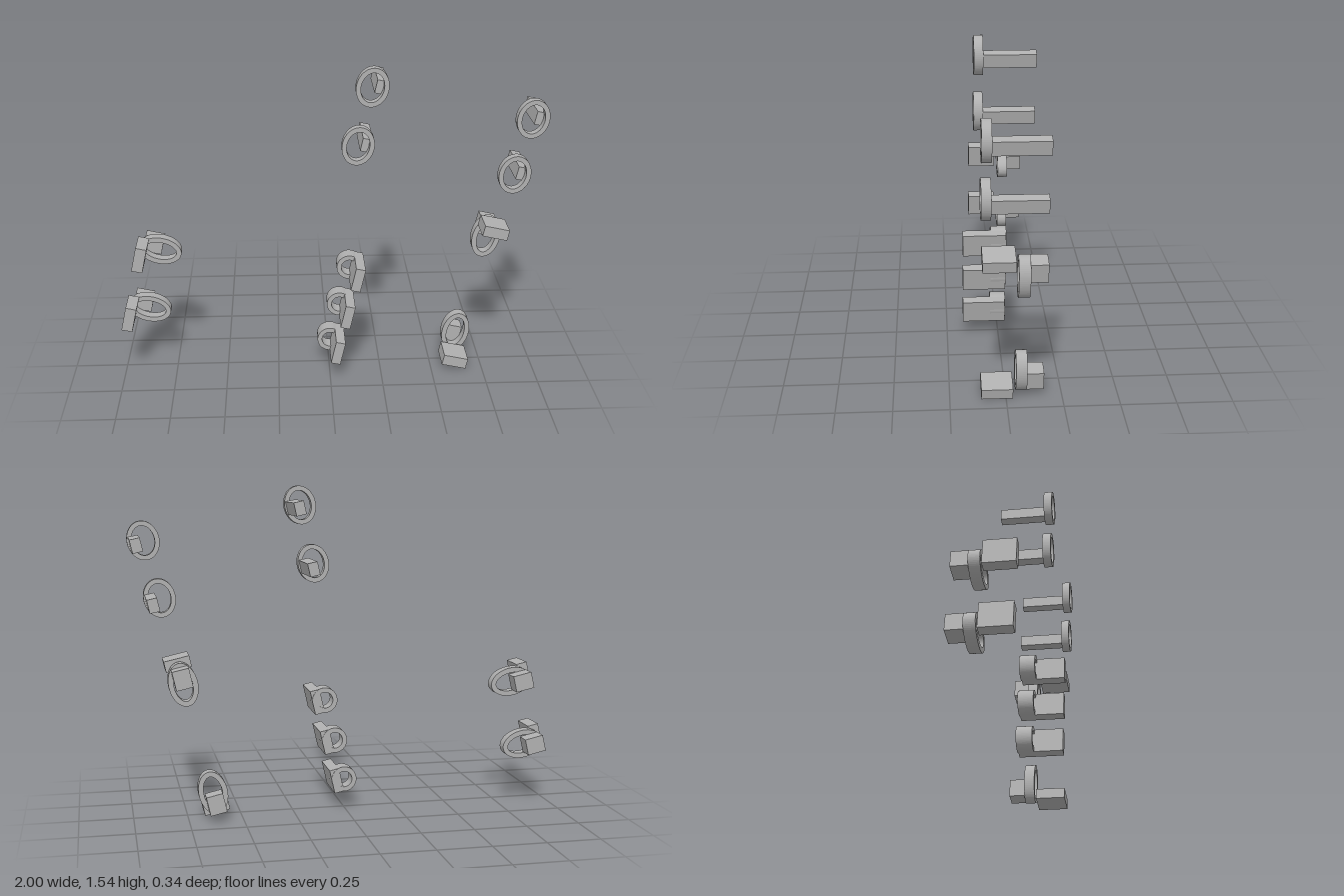
import * as THREE from 'three';

const TILT = -0.223; // shared lean of every part in the front plane

export function createModel() {
  const model = new THREE.Group();
  model.name = 'fittings';
  const grey = new THREE.MeshStandardMaterial({ color: 0xb0b0b0 });
  grey.name = 'plain grey';

  // Elliptical ring, extruded from z0 to z1
  function ring(parent, name, a, b, wall, x, y, z0, z1) {
    const shape = new THREE.Shape();
    shape.absellipse(0, 0, a, b, 0, Math.PI * 2, false);
    const hole = new THREE.Path();
    hole.absellipse(0, 0, a - wall, b - wall, 0, Math.PI * 2, true);
    shape.holes.push(hole);
    const geometry = new THREE.ExtrudeGeometry(shape, { depth: z1 - z0, bevelEnabled: false, curveSegments: 32 });
    const mesh = new THREE.Mesh(geometry, grey);
    mesh.name = name;
    mesh.position.set(x, y, z0);
    parent.add(mesh);
  }

  // Box centred on x, y, running from z0 to z1
  function block(parent, name, w, h, x, y, z0, z1) {
    const mesh = new THREE.Mesh(new THREE.BoxGeometry(w, h, z1 - z0), grey);
    mesh.name = name;
    mesh.position.set(x, y, (z0 + z1) / 2);
    parent.add(mesh);
  }

  function unit(name, x, y, turn = 0) {
    const group = new THREE.Group();
    group.name = name;
    group.position.set(x, y, 0);
    group.rotation.z = TILT + turn;
    model.add(group);
    return group;
  }

  // Upper ring handles with long bars reaching back
  for (const [x, y] of [[0.19, 1.445], [0.128, 1.17], [0.922, 1.287], [0.853, 1.02]]) {
    const g = unit('ringHandle', x, y);
    ring(g, 'handleRing', 0.074, 0.091, 0.022, 0, 0, 0.077, 0.118);
    block(g, 'handleBar', 0.047, 0.0625, 0.042, 0, -0.157, 0.08);
  }

  // Middle column of blocks, each with a round eye on its right side
  for (const [x, y] of [[0.131, 0.522], [0.084, 0.326], [0.038, 0.134]]) {
    const g = unit('eyeBlock', x, y);
    block(g, 'eyeBody', 0.046, 0.115, 0, 0, -0.031, 0.172);
    ring(g, 'eyeRing', 0.06, 0.06, 0.022, -0.036, 0, -0.034, 0.04);
  }

  // Outer latches: oval ring, front plate at one end, block behind
  const quarter = Math.PI / 2;
  for (const [x, y, turn] of [
    [0.764, 0.638, 0], [0.636, 0.125, Math.PI],
    [-0.81, 0.597, quarter], [-0.876, 0.286, quarter],
  ]) {
    const g = unit('latch', x, y, turn);
    ring(g, 'latchRing', 0.067, 0.102, 0.024, 0, 0, -0.092, -0.042);
    block(g, 'latchPlate', 0.12, 0.052, 0, 0.089, -0.031, 0.11);
    block(g, 'latchBlock', 0.078, 0.09, 0, 0.038, -0.168, -0.09);
  }

  return model;
}
